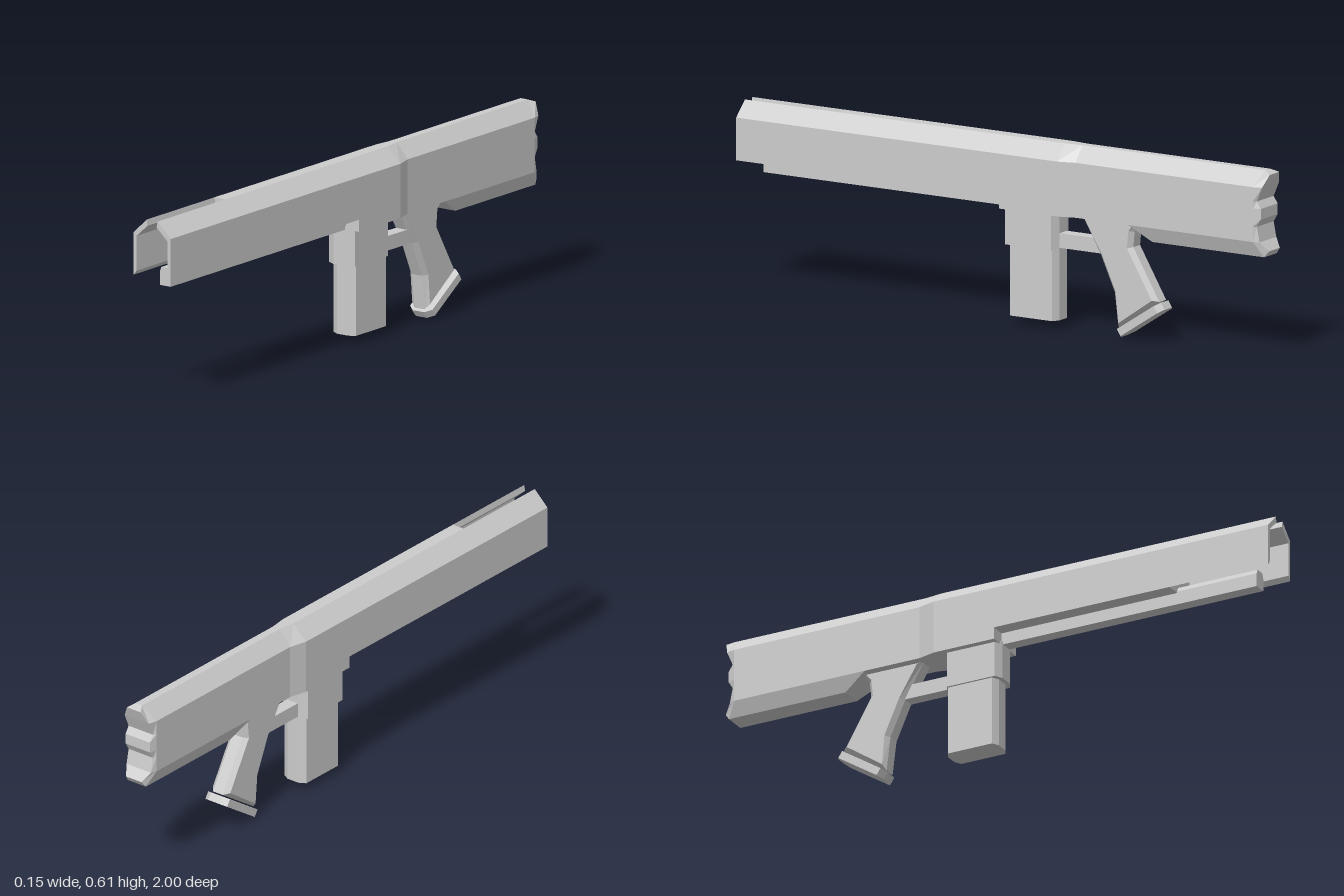
import * as THREE from 'three';

const material = new THREE.MeshStandardMaterial({ color: 0xcccccc, flatShading: true });

function add(group, name, geometry) {
  const mesh = new THREE.Mesh(geometry, material);
  mesh.name = name;
  group.add(mesh);
  return mesh;
}

// Skin over mirrored sections, front to back. A section lists [halfWidth, y, z] from bottom to top.
function loft(sections) {
  const levels = sections[0].length;
  const n = levels * 2;
  const rings = sections.map((s) => [
    ...s.map(([w, y, z]) => new THREE.Vector3(w, y, z)),
    ...s.slice().reverse().map(([w, y, z]) => new THREE.Vector3(-w, y, z)),
  ]);
  const pos = [];
  const tri = (a, b, c) => {
    const area = b.clone().sub(a).cross(c.clone().sub(a)).length();
    if (area > 1e-9) for (const p of [a, b, c]) pos.push(p.x, p.y, p.z);
  };
  const quad = (a, b, c, d) => { tri(a, b, c); tri(a, c, d); };
  for (let i = 0; i < rings.length - 1; i++) {
    for (let j = 0; j < n; j++) {
      const k = (j + 1) % n;
      quad(rings[i][j], rings[i + 1][j], rings[i + 1][k], rings[i][k]);
    }
  }
  const front = rings[0], back = rings[rings.length - 1];
  for (let k = 0; k < levels - 1; k++) {
    quad(front[k], front[k + 1], front[n - 2 - k], front[n - 1 - k]);
    quad(back[k], back[n - 1 - k], back[n - 2 - k], back[k + 1]);
  }
  const geometry = new THREE.BufferGeometry();
  geometry.setAttribute('position', new THREE.Float32BufferAttribute(pos, 3));
  geometry.computeVertexNormals();
  return geometry;
}

// Straight extrusion along z of an x/y outline.
function extrude(points, depth, options = {}) {
  const shape = new THREE.Shape(points.map(([x, y]) => new THREE.Vector2(x, y)));
  return new THREE.ExtrudeGeometry(shape, { depth, bevelEnabled: false, ...options });
}

// Upright box with chamfered vertical corners, centred on its origin.
function chamferedPrism(halfW, halfL, flatW, chamferL, height) {
  const l = halfL - chamferL;
  return extrude([
    [flatW, -halfL], [halfW, -l], [halfW, l], [flatW, halfL],
    [-flatW, halfL], [-halfW, l], [-halfW, -l], [-flatW, -halfL],
  ], height).translate(0, 0, -height / 2).rotateX(-Math.PI / 2);
}

function createBody() {
  const heights = [0.33, 0.38, 0.43, 0.455, 0.49, 0.513, 0.56, 0.61];
  const top = heights.length - 1;
  const section = (z, halfW, topW, bottom) =>
    heights.map((y, i) => [i === top ? topW : halfW, Math.max(y, bottom), z]);

  // The stock deepens into a keel at the rear
  const keel = section(-0.56, 0.058, 0.014, 0.33);
  keel[0][0] = 0.038;
  const beforeEnd = keel.map(([w, y], i) => [w, y, i === 0 ? -0.985 : i === top ? -0.975 : -0.955]);

  // Notched butt with two lobes and a middle ridge
  const endZ = [-1, -0.975, -0.965, -0.98, -0.98, -0.965, -0.985, -1];
  const end = heights.map((y, i) => [0.05, y, endZ[i]]);
  end[0] = [0.032, 0.35, -1];
  end[top] = [0.028, 0.6, -1];

  return loft([
    section(0.64, 0.074, 0.022, 0.42),
    section(0, 0.074, 0.022, 0.42),
    section(0, 0.074, 0.022, 0.38),
    section(-0.22, 0.074, 0.022, 0.38),
    section(-0.28, 0.058, 0.014, 0.38),
    section(-0.48, 0.058, 0.014, 0.38),
    keel, beforeEnd, end,
  ]);
}

export function createModel() {
  const group = new THREE.Group();
  group.name = 'longGun';

  add(group, 'body', createBody());

  // Pair of thin shroud walls, open above and below
  const wall = [
    [0.074, 0.42], [0.074, 0.56], [0.022, 0.61],
    [0.018, 0.59], [0.062, 0.55], [0.062, 0.435],
  ];
  for (const side of [1, -1]) {
    const outline = wall.map(([x, y]) => [x * side, y]);
    add(group, side > 0 ? 'leftShroudWall' : 'rightShroudWall', extrude(outline, 0.36))
      .position.z = 0.64;
  }

  // Rail along the underside
  add(group, 'lowerRail', extrude([
    [-0.022, 0.38], [0.022, 0.38], [0.022, 0.425],
    [0.016, 0.44], [-0.016, 0.44], [-0.022, 0.425],
  ], 0.93));

  // Magazine and its housing
  add(group, 'magazineHousing', chamferedPrism(0.052, 0.101, 0.024, 0.014, 0.13))
    .position.set(0, 0.325, -0.096);
  add(group, 'magazine', chamferedPrism(0.045, 0.093, 0.022, 0.013, 0.24))
    .position.set(0, 0.147, -0.103);

  // Trigger guard bar
  add(group, 'triggerGuard', new THREE.BoxGeometry(0.044, 0.048, 0.19))
    .position.set(0, 0.289, -0.275);

  // Raked grip with bevelled edges, outlined in z and y
  const grip = extrude([
    [-0.283, 0.385], [-0.353, 0.262], [-0.406, 0.144], [-0.42, 0.03],
    [-0.575, 0.132], [-0.476, 0.3], [-0.481, 0.35], [-0.503, 0.385],
  ], 0.04, {
    bevelEnabled: true, bevelSegments: 1, bevelThickness: 0.016, bevelSize: 0.014, bevelOffset: -0.014,
  });
  add(group, 'grip', grip.translate(0, 0, -0.02).rotateY(-Math.PI / 2));

  const plate = add(group, 'gripBasePlate', chamferedPrism(0.045, 0.0995, 0.022, 0.016, 0.026));
  plate.position.set(0, 0.0655, -0.506);
  plate.rotation.x = 0.58;

  return group;
}
